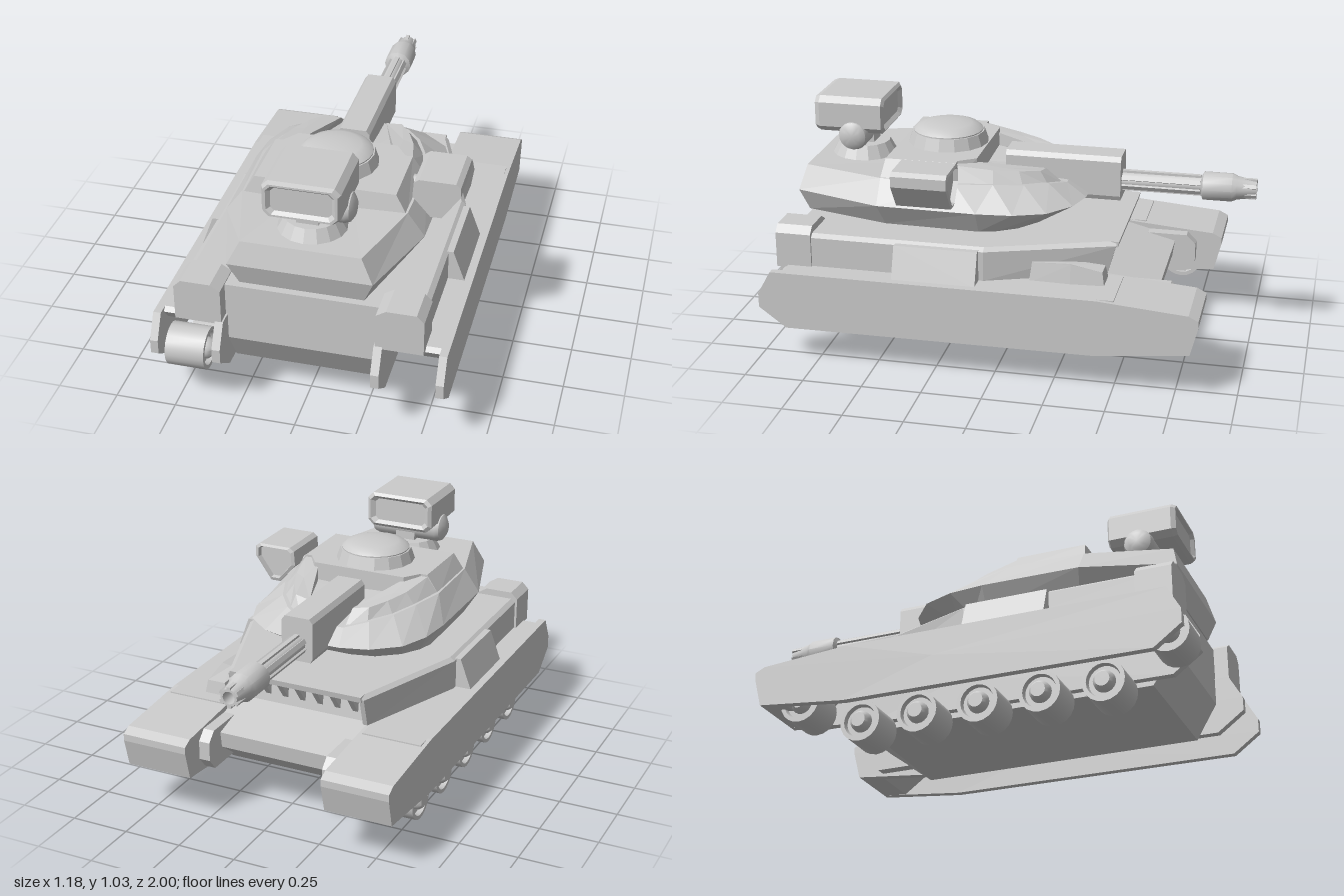
import * as THREE from 'three';
import { toCreasedNormals } from 'three/addons/utils/BufferGeometryUtils.js';

const flat = new THREE.MeshStandardMaterial({ color: 0xcccccc, flatShading: true });
const smooth = new THREE.MeshStandardMaterial({ color: 0xcccccc });

// Closed solid through rings of [x, y, z] points, faces turned outward
function loft(rings) {
  const tris = [];
  const n = rings[0].length;
  for (let r = 0; r + 1 < rings.length; r++) {
    for (let i = 0; i < n; i++) {
      const j = (i + 1) % n, a = rings[r], b = rings[r + 1];
      tris.push([a[i], a[j], b[j]], [a[i], b[j], b[i]]);
    }
  }
  const cap = (ring, flip) => {
    const c = [0, 1, 2].map(k => ring.reduce((s, p) => s + p[k], 0) / n);
    ring.forEach((p, i) => {
      const q = ring[(i + 1) % n];
      tris.push(flip ? [c, q, p] : [c, p, q]);
    });
  };
  cap(rings[0], true);
  cap(rings[rings.length - 1], false);
  const V = p => new THREE.Vector3(...p);
  const volume = tris.reduce((s, [a, b, c]) => s + V(a).dot(V(b).cross(V(c))), 0);
  const pos = tris.flatMap(([a, b, c]) => (volume < 0 ? [a, c, b] : [a, b, c]).flat());
  const g = new THREE.BufferGeometry();
  g.setAttribute('position', new THREE.Float32BufferAttribute(pos, 3));
  g.computeVertexNormals();
  return g;
}

// Prisms along x (profile in z, y) and along z (profile in x, y)
const prismX = (zy, x0, x1) => loft([x0, x1].map(x => zy.map(([z, y]) => [x, y, z])));
const prismZ = (xy, z0, z1) => loft([z0, z1].map(z => xy.map(([x, y]) => [x, y, z])));
const mirrorX = half => [...half, ...[...half].reverse().map(([x, y, z]) => [-x, y, z])];
const sideOf = (s, ring) => ring.map(([x, ...rest]) => [s * x, ...rest]);
const lathe = (pts, n) => toCreasedNormals(
  new THREE.LatheGeometry(pts.map(p => new THREE.Vector2(...p)), n), 0.6);

export function createModel() {
  const model = new THREE.Group();
  const add = (name, geo, mat = flat, x = 0, y = 0, z = 0, parent = model) => {
    const m = new THREE.Mesh(geo, mat);
    m.name = name;
    m.position.set(x, y, z);
    parent.add(m);
    return m;
  };

  // Lower hull
  add('lowerHull', prismX([[.87, .53], [.87, .285], [.78, .135], [-.45, .135], [-.63, .27],
    [-.64, .34], [-.4, .4], [-.38, .53]], -.305, .305));

  // Upper hull with a slim chamfer, nose cut back for the grille
  const hullRing = (y, d, front) => mirrorX([[.31, y, .87], [.49 - d, y, .87], [.49 - d, y, .05],
    [.31 - d, y, front], [.29 - d, y, front], [.29 - d, y, -.37]]);
  add('upperHull', loft([hullRing(.4, 0, -.43), hullRing(.525, 0, -.465), hullRing(.54, .02, -.465)]));
  add('deckLip', prismX([[-.36, .54], [-.475, .54], [-.47, .515], [-.36, .515]], -.3, .3));
  for (let i = -3; i <= 3; i++) {
    add('grilleFin', prismX([[-.36, .52], [-.46, .52], [-.37, .4]], i * .08 - .012, i * .08 + .012));
  }

  // Fenders, deck blocks and side boxes
  const skirt = [[.93, .4], [-.43, .4], [-.8, .37], [-.84, .35], [-.84, .32], [-.81, .2],
    [-.43, .16], [.87, .155], [.985, .24], [.985, .3]];
  for (const s of [-1, 1]) {
    add('outerSkirt', prismX(skirt, s * .56, s * .592));
    add('innerSkirt', prismX(skirt, s * .303, s * .337));
    add('fenderTop', prismX([[.88, .4], [.9, .385], [.86, .335], [-.5, .335], [-.5, .4]], s * .32, s * .575));
    add('fenderNose', prismX([[-.43, .4], [-.8, .37], [-.84, .35], [-.84, .32], [-.81, .2],
      [-.7, .19], [-.5, .335]], s * .32, s * .575));
    add('rearBlock', prismZ(sideOf(s, [[.31, .39], [.5, .39], [.5, .54], [.47, .57], [.35, .57], [.31, .545]]), .78, .93));
    add('sideBox', prismZ(sideOf(s, [[.45, .395], [.56, .395], [.51, .53], [.45, .53]]), .07, .42));
    add('noseBracket', prismX([[-.45, .37], [-.69, .37], [-.73, .33], [-.73, .25], [-.69, .2], [-.45, .2]],
      s * .255, s * .305));
  }
  add('sidePod', loft([
    [[.33, .39, -.13], [.445, .39, -.13], [.45, .39, -.3], [.44, .39, -.44], [.33, .39, -.44]],
    [[.35, .475, -.14], [.43, .475, -.14], [.435, .48, -.3], [.43, .455, -.43], [.35, .455, -.43]]]));

  // Road wheels and end wheels, on one side only
  const wheel = lathe([[0, -.095], [.03, -.095], [.042, -.08], [.045, -.06], [.065, -.06], [.07, -.08],
    [.087, -.08], [.087, .08], [.07, .08], [.065, .06], [.045, .06], [.042, .08], [.03, .095], [0, .095]], 20)
    .rotateZ(Math.PI / 2);
  for (const z of [.65, .39, .13, -.13, -.38]) add('roadWheel', wheel, smooth, -.45, .088, z);
  add('rearEndWheel', wheel, smooth, -.45, .248, .91);
  add('frontEndWheel', wheel, smooth, -.45, .215, -.66);

  // Turret
  const turret = new THREE.Group();
  turret.name = 'turret';
  model.add(turret);
  const part = (name, geo, mat = flat, x = 0, y = 0, z = 0) => add(name, geo, mat, x, y, z, turret);
  part('turretRing', new THREE.CylinderGeometry(.205, .205, .05, 24), smooth, 0, .55, .32);
  const ring = (y, half) => mirrorX(half.map(([x, z]) => [x, y, z]));
  part('turretBody', loft([
    ring(.56, [[.25, .865], [.35, .5], [.36, .1], [.34, .03], [.29, -.05], [.2, -.12], [.1, -.145]]),
    ring(.657, [[.29, .895], [.41, .52], [.415, .1], [.4, -.05], [.35, -.18], [.24, -.27], [.12, -.305]]),
    mirrorX([[.24, .755, .87], [.34, .755, .52], [.35, .755, .2], [.31, .75, .05], [.26, .74, -.07],
      [.19, .73, -.16], [.1, .71, -.22]])]));
  part('turretRoof', loft([
    ring(.74, [[.34, .525], [.348, .21], [.28, .21], [.22, .14]]),
    ring(.825, [[.29, .51], [.29, .21], [.26, .21], [.21, .14]])]));
  for (const s of [-1, 1]) {
    part('cheekArmor', loft([
      sideOf(s, [[.1, .7, -.21], [.18, .72, -.155], [.255, .73, -.065], [.305, .74, .05], [.348, .74, .21], [.22, .74, .21]]),
      sideOf(s, [[.1, .765, -.13], [.17, .775, -.12], [.22, .785, -.04], [.26, .795, .06], [.29, .815, .21], [.22, .815, .21]])]));
  }

  // Roof hatch dome
  part('hatchRing', new THREE.CylinderGeometry(.155, .175, .06, 16), flat, 0, .845, .315);
  part('hatchDome', lathe([[.135, 0], [.148, .008], [.148, .02], [.13, .035], [.1, .045], [.05, .05], [0, .052]], 24),
    smooth, 0, .86, .315);

  // Gun
  part('mantlet', prismZ([[-.06, .63], [.06, .63], [.07, .65], [.07, .8], [.055, .82], [-.055, .82],
    [-.07, .8], [-.07, .65]], .05, -.44));
  part('barrel', lathe([[0, .4], [.037, .4], [.037, .77], [.06, .78], [.06, .9], [.05, .92], [.036, 1],
    [.026, 1], [.026, .9], [0, .9]], 12).rotateX(-Math.PI / 2), smooth, 0, .703, 0);
  for (let i = 0; i < 6; i++) {
    const rib = new THREE.Group();
    rib.name = 'barrelRibs';
    rib.position.y = .703;
    rib.rotation.z = i * Math.PI / 3;
    turret.add(rib);
    add('barrelRib', new THREE.BoxGeometry(.02, .014, .34), flat, 0, .037, -.6, rib);
    add('muzzleRib', new THREE.BoxGeometry(.016, .012, .1), flat, 0, .038, -.95, rib);
  }

  // Side sight on its arm, with a recessed window facing the gun end
  const sight = k => [[.34, .835], [.36, .85], [.51, .85], [.53, .835], [.53, .79], [.455, .685], [.41, .685], [.335, .77]]
    .map(([x, y]) => [.435 + (x - .435) * k, .78 + (y - .78) * k]);
  const sightRing = (k, z) => sight(k).map(([x, y]) => [x, y, z]);
  part('sideSight', loft([sightRing(1, .42), sightRing(1, .19), sightRing(.85, .185), sightRing(.8, .205)]));
  part('sightArm', new THREE.CylinderGeometry(.035, .035, .1, 10).rotateZ(Math.PI / 2), smooth, .335, .755, .29);

  // Rear sensor: pedestal, neck, trunnion and framed head
  part('sensorPedestal', new THREE.CylinderGeometry(.11, .14, .055, 16), flat, 0, .778, .69);
  part('sensorNeck', new THREE.BoxGeometry(.09, .1, .13), flat, 0, .84, .7);
  part('sensorTrunnion', lathe([[0, -.175], [.035, -.175], [.058, -.16], [.065, -.14], [.065, .14],
    [.058, .16], [.035, .175], [0, .175]], 20).rotateZ(Math.PI / 2), smooth, 0, .865, .695);
  const headRing = (w, h, c, z) => [[w, -h + c], [w, h - c], [w - c, h], [-w + c, h], [-w, h - c],
    [-w, -h + c], [-w + c, -h], [w - c, -h]].map(([x, y]) => [x, y + .952, z]);
  part('sensorHead', loft([headRing(.12, .05, .015, .575), headRing(.14, .064, .02, .56), headRing(.155, .077, .025, .57),
    headRing(.155, .077, .025, .84), headRing(.145, .07, .022, .86), headRing(.135, .062, .02, .86),
    headRing(.12, .05, .015, .845)]));
  return model;
}
